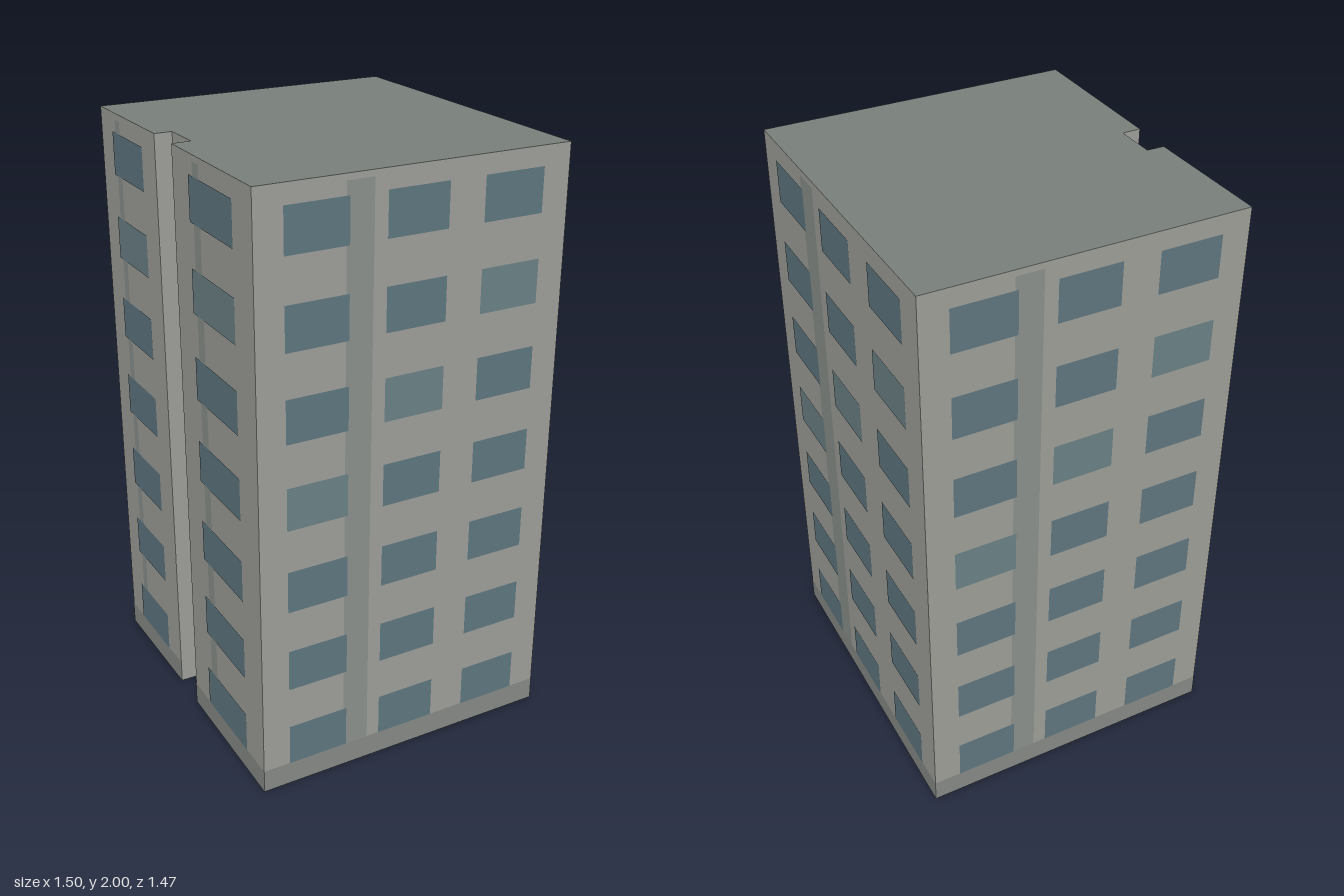
import * as THREE from 'three';

const HEIGHT = 2, FLOORS = 7, FLOOR = HEIGHT / FLOORS;

// Footprint corners (x, z), starting at the left end of the notched facade
const FOOTPRINT = [
  [-0.748, 0.2], [-0.346, 0.407], [-0.318, 0.355], [-0.194, 0.419],
  [-0.222, 0.476], [0.259, 0.733], [0.748, -0.203], [-0.261, -0.735],
];

const mat = (color, side = THREE.FrontSide) => new THREE.MeshStandardMaterial({ color, side });

export function createModel() {
  const model = new THREE.Group();
  model.name = 'towerBlock';

  const wallMat = mat(0xa3a49e, THREE.DoubleSide);
  const roofMat = mat(0x7a827e, THREE.DoubleSide);
  const plinthMat = mat(0x8b8e8a);
  const stripMat = mat(0x8f9591);
  const glassMat = mat(0x627a84);
  const paleGlassMat = mat(0x6e858a);

  // Flat rectangle in a wall's own frame: x along the wall, z outwards
  function panel(parent, name, material, x0, x1, y0, y1, z) {
    const mesh = new THREE.Mesh(new THREE.PlaneGeometry(x1 - x0, y1 - y0), material);
    mesh.position.set((x0 + x1) / 2, (y0 + y1) / 2, z);
    mesh.name = name;
    parent.add(mesh);
  }

  // Walls, one per footprint edge, open at the bottom
  FOOTPRINT.forEach(([x, z], i) => {
    const [nx, nz] = FOOTPRINT[(i + 1) % FOOTPRINT.length];
    const length = Math.hypot(nx - x, nz - z);
    const facade = new THREE.Group();
    facade.name = 'facade' + (i + 1);
    facade.position.set(x, 0, z);
    facade.rotation.y = Math.atan2(z - nz, nx - x);
    model.add(facade);

    panel(facade, 'wall', wallMat, 0, length, 0, HEIGHT, 0);
    if (length < 0.1) return; // plain returns of the recess

    // Vertical strip, then the plinth over its foot
    panel(facade, 'verticalStrip', stripMat, length * 0.275, length * 0.36, 0.08, 1.98, 0.001);
    panel(facade, 'plinth', plinthMat, 0, length, 0, 0.08, 0.001);

    // Windows: three bays on the long walls, one on the short ones
    const bays = length > 0.8 ? [[0.088, 0.285], [0.402, 0.597], [0.714, 0.911]] : [[0.225, 0.772]];
    for (let floor = 0; floor < FLOORS; floor++) {
      const y = (floor + 0.28) * FLOOR;
      bays.forEach(([a, b], bay) => {
        const pale = bays.length > 1 ? FLOORS - 1 - floor + bay === 3 : floor === 5;
        panel(facade, 'window', pale ? paleGlassMat : glassMat,
          length * a, length * b, y, y + FLOOR / 2, 0.002);
      });
    }
  });

  // Flat roof
  const outline = new THREE.Shape(FOOTPRINT.map(([x, z]) => new THREE.Vector2(x, -z)));
  const roof = new THREE.Mesh(new THREE.ShapeGeometry(outline).rotateX(-Math.PI / 2), roofMat);
  roof.position.y = HEIGHT;
  roof.name = 'roof';
  model.add(roof);

  return model;
}
